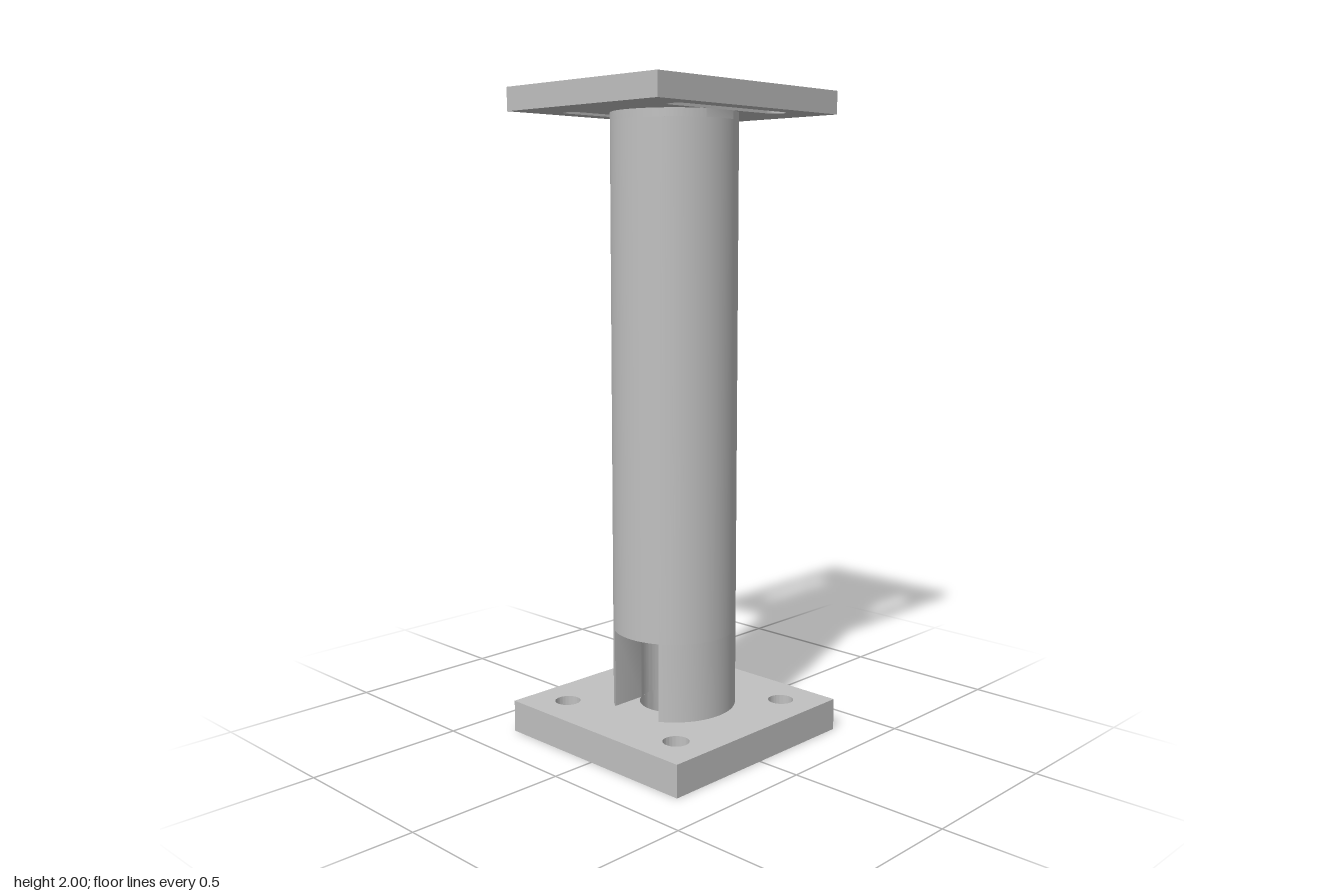
import * as THREE from 'three';
import { toCreasedNormals, mergeGeometries } from 'three/addons/utils/BufferGeometryUtils.js';

const PI = Math.PI;
const R = 0.193;        // column outer radius
const BORE = 0.11;      // through bore radius
const NOTCH = 0.096;    // half width of the notch at the column foot
const SLOT_Z = 0.2175;  // slot centre line
const SLOT_R = 0.0325;  // slot end radius
const SEG = 40;

// Side walls only of an upright prism between heights y0 and y1
function walls(shape, y0, y1) {
  const full = new THREE.ExtrudeGeometry(shape, { depth: y1 - y0, bevelEnabled: false, curveSegments: SEG });
  const { start, count } = full.groups[1];
  const geo = new THREE.BufferGeometry();
  const points = full.attributes.position.array.slice(start * 3, (start + count) * 3);
  geo.setAttribute('position', new THREE.BufferAttribute(points, 3));
  geo.rotateX(-PI / 2).translate(0, y0, 0);
  return toCreasedNormals(geo, 0.5);
}

// Flat horizontal face at height y, facing up or down
function face(shape, y, up) {
  const geo = new THREE.ShapeGeometry(shape, SEG).toNonIndexed();
  geo.deleteAttribute('uv');
  return geo.rotateX(up ? -PI / 2 : PI / 2).translate(0, y, 0);
}

function circle(x, y, r) {
  return new THREE.Path().absarc(x, y, r, 0, 2 * PI, true);
}

function rectangle(hx, hz) {
  return new THREE.Shape([[-hx, -hz], [hx, -hz], [hx, hz], [-hx, hz]].map(p => new THREE.Vector2(...p)));
}

function slot(z) {
  const half = 0.24 - SLOT_R;
  const path = new THREE.Path();
  path.absarc(half, z, SLOT_R, -PI / 2, PI / 2, false);
  path.absarc(-half, z, SLOT_R, PI / 2, 1.5 * PI, false);
  return path.closePath();
}

export function createModel() {
  const model = new THREE.Group();
  const steel = new THREE.MeshStandardMaterial({ color: 0xc0c0c0 });
  steel.name = 'grey steel';

  const add = (name, parts) => {
    const mesh = new THREE.Mesh(mergeGeometries(parts), steel);
    mesh.name = name;
    model.add(mesh);
  };

  // Base plate with the bore and four bolt holes
  const base = rectangle(0.36, 0.36);
  base.holes.push(circle(0, 0, BORE));
  for (const x of [-0.24, 0.24]) for (const z of [-0.24, 0.24]) base.holes.push(circle(x, z, 0.04));
  add('basePlate', [walls(base, 0, 0.1), face(base, 0, false), face(base, 0.1, true)]);

  // Column foot, open on one side
  const a = Math.asin(NOTCH / R), b = Math.asin(NOTCH / BORE);
  const foot = new THREE.Shape();
  foot.absarc(0, 0, R, -PI + a, PI - a, false);
  foot.absarc(0, 0, BORE, PI - b, -PI + b, true);
  foot.closePath();

  const notchCeiling = new THREE.Shape();
  notchCeiling.absarc(0, 0, R, PI - a, PI + a, false);
  notchCeiling.absarc(0, 0, BORE, PI + b, PI - b, true);
  notchCeiling.closePath();
  add('columnFoot', [walls(foot, 0.1, 0.345), face(notchCeiling, 0.345, false)]);

  // Main round column
  const ring = new THREE.Shape().absarc(0, 0, R, 0, 2 * PI, false);
  ring.holes.push(circle(0, 0, BORE));
  add('column', [walls(ring, 0.345, 1.905)]);

  // Column neck with two flats where the slots cut into it
  const c = Math.acos((SLOT_Z - SLOT_R) / R);
  const neck = new THREE.Shape();
  neck.absarc(0, 0, R, -PI / 2 + c, PI / 2 - c, false);
  neck.absarc(0, 0, R, PI / 2 + c, 1.5 * PI - c, false);
  neck.closePath();
  neck.holes.push(circle(0, 0, BORE));
  const ledges = [PI / 2, -PI / 2].map(mid => {
    const ledge = new THREE.Shape().absarc(0, 0, R, mid - c, mid + c, false);
    return face(ledge.closePath(), 1.905, true);
  });
  add('columnNeck', [walls(neck, 1.905, 1.93), ...ledges]);

  // Top plate with bore, two slots and a sunken triangle
  const arrow = [[0.215, -0.085], [0.36, 0], [0.215, 0.085]].map(p => new THREE.Vector2(...p));
  const lower = rectangle(0.385, 0.3125);
  lower.holes.push(circle(0, 0, BORE), slot(SLOT_Z), slot(-SLOT_Z));
  const upper = lower.clone();
  upper.holes.push(new THREE.Path(arrow));
  add('topPlate', [
    walls(lower, 1.93, 1.97), face(lower, 1.93, false),
    walls(upper, 1.97, 2), face(upper, 2, true),
  ]);
  add('triangleRecessFloor', [face(new THREE.Shape(arrow), 1.97, true)]);

  return model;
}
